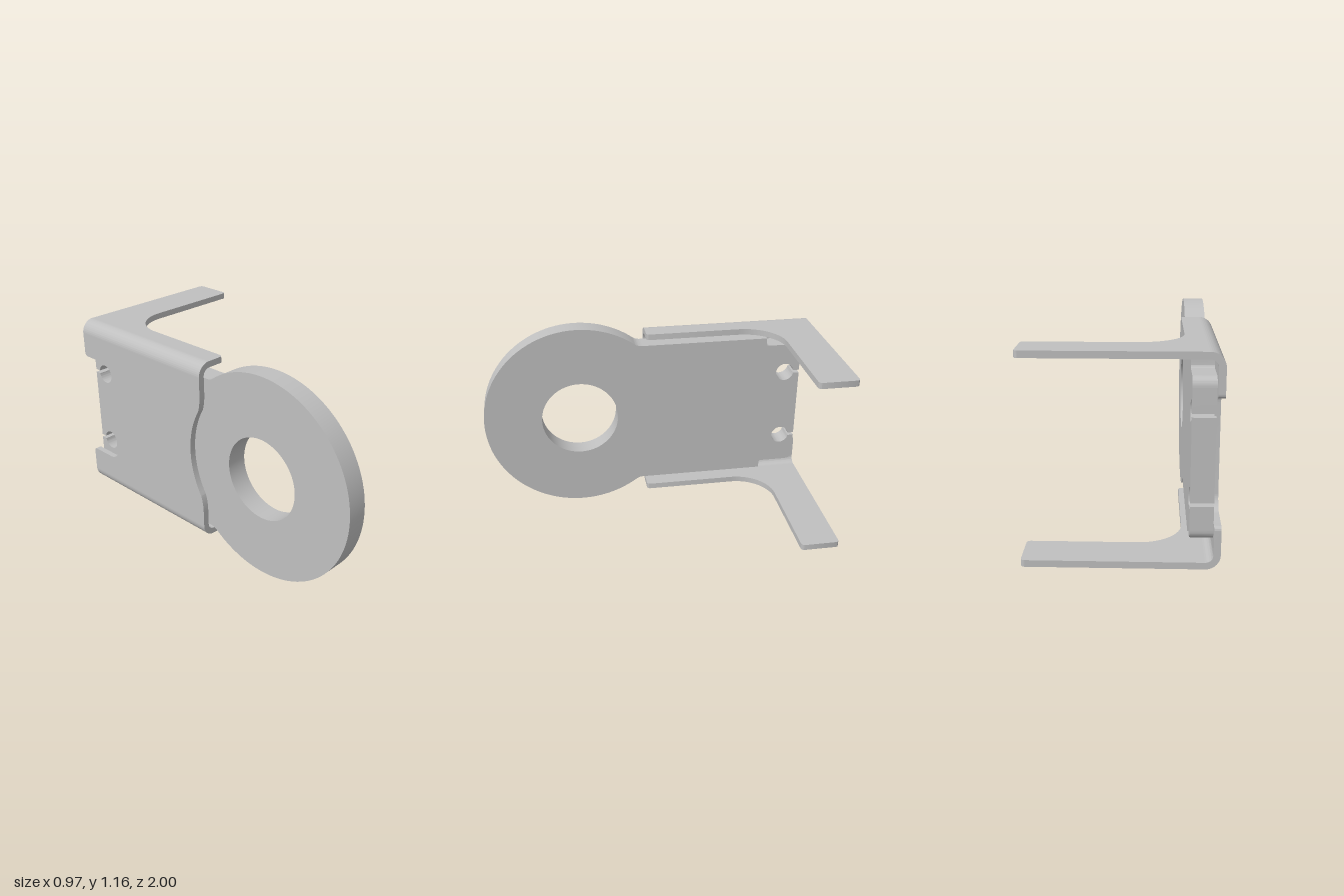
import * as THREE from 'three';
import { toCreasedNormals } from 'three/addons/utils/BufferGeometryUtils.js';

const MID = 0.583;                 // height of the symmetry plane
const X_OUT = -0.485, SHEET = 0.035; // outer web face, sheet thickness
const BEND = 0.075;                // outer bend radius
const TOP = 1.118, BOTTOM = 2 * MID - TOP;
const BACK = -1, FRONT = 0.01;

function extrude(shape, depth) {
  return new THREE.ExtrudeGeometry(shape, { depth, bevelEnabled: false, curveSegments: 40 });
}

// Outline drawn in (z, y), thickened from x0 towards -x
function sidePlate(shape, x0, depth) {
  return extrude(shape, depth).rotateY(-Math.PI / 2).translate(x0, 0, 0);
}

function eyePlateShape() {
  const s = new THREE.Shape();
  const up = y => 2 * MID - y; // mirror in height
  s.absarc(0.42, MID, 0.58, -2.2, 2.2, false);
  s.quadraticCurveTo(0.06, 1.037, 0.03, 1.037);
  s.lineTo(-0.733, 1.037);
  s.lineTo(-0.733, 1.005);
  s.quadraticCurveTo(-0.733, 0.988, -0.75, 0.988);
  s.lineTo(-0.9, 0.988);
  s.quadraticCurveTo(-0.952, 0.988, -0.952, 0.936);
  // relief holes opening to the back edge through narrow slots
  for (const y of [0.805, up(0.805)]) {
    s.lineTo(-0.952, y + 0.009);
    s.absarc(-0.861, y, 0.055, Math.PI - 0.164, -Math.PI + 0.164, true);
    s.lineTo(-0.952, y - 0.009);
  }
  s.lineTo(-0.952, up(0.936));
  s.quadraticCurveTo(-0.952, up(0.988), -0.9, up(0.988));
  s.lineTo(-0.75, up(0.988));
  s.quadraticCurveTo(-0.733, up(0.988), -0.733, up(1.005));
  s.lineTo(-0.733, up(1.037));
  s.lineTo(0.03, up(1.037));
  s.quadraticCurveTo(0.06, up(1.037), 0.42 + 0.58 * Math.cos(2.2), MID - 0.58 * Math.sin(2.2));
  s.holes.push(new THREE.Path().absarc(0.42, MID, 0.233, 0, Math.PI * 2, true));
  return s;
}

function webShape() {
  const s = new THREE.Shape();
  const hi = TOP - BEND, lo = BOTTOM + BEND, up = y => 2 * MID - y;
  const R = 0.5, a = 0.55; // concave relief around the eye
  const az = 0.42 - R * Math.cos(a), ay = MID + R * Math.sin(a);
  s.moveTo(BACK, lo);
  s.lineTo(FRONT, lo);
  s.lineTo(FRONT, up(0.95));
  s.quadraticCurveTo(FRONT, up(0.89), az, up(ay));
  s.absarc(0.42, MID, R, Math.PI + a, Math.PI - a, true);
  s.quadraticCurveTo(FRONT, 0.89, FRONT, 0.95);
  s.lineTo(FRONT, hi);
  s.lineTo(BACK, hi);
  // open window at the back end
  s.lineTo(BACK, 0.92);
  s.quadraticCurveTo(BACK, 0.898, BACK + 0.022, 0.898);
  s.lineTo(-0.83, 0.898);
  s.absarc(-0.83, 0.818, 0.08, Math.PI / 2, 0, true);
  s.absarc(-0.83, up(0.818), 0.08, 0, -Math.PI / 2, true);
  s.lineTo(BACK + 0.022, up(0.898));
  s.quadraticCurveTo(BACK, up(0.898), BACK, up(0.92));
  return s;
}

// L-shaped arm drawn in (x, -z)
function armShape() {
  const s = new THREE.Shape();
  const x0 = X_OUT + BEND, x1 = -0.308, tip = 0.485, inner = 0.775, f = 0.23, r = 0.02;
  s.moveTo(x0, -FRONT);
  s.lineTo(x1 - r, -FRONT);
  s.absarc(x1 - r, -FRONT + r, r, -Math.PI / 2, 0, false);
  s.absarc(x1 + f, inner - f, f, Math.PI, Math.PI / 2, true);
  s.absarc(tip - r, inner + r, r, -Math.PI / 2, 0, false);
  s.absarc(tip - r, -BACK - r, r, 0, Math.PI / 2, false);
  s.lineTo(x0, -BACK);
  return s;
}

// Quarter-ring fold between web and arm
function bendShape(y, from) {
  const s = new THREE.Shape();
  const x = X_OUT + BEND, to = from + Math.PI / 2;
  s.absarc(x, y, BEND, from, to, false);
  s.absarc(x, y, BEND - SHEET, to, from, true);
  return s;
}

export function createModel() {
  const steel = new THREE.MeshStandardMaterial({ color: 0xbfbfbf });
  steel.name = 'plain steel grey';
  const model = new THREE.Group();
  model.name = 'eyePlateWithBracket';

  const add = (parent, name, geometry) => {
    const mesh = new THREE.Mesh(toCreasedNormals(geometry, 0.5), steel);
    mesh.name = name;
    parent.add(mesh);
  };

  add(model, 'eyePlate', sidePlate(eyePlateShape(), -0.334, 0.116));

  // Folded sheet bracket
  const bracket = new THREE.Group();
  bracket.name = 'bracket';
  model.add(bracket);
  add(bracket, 'web', sidePlate(webShape(), X_OUT + SHEET, SHEET));
  const sides = [
    ['upper', TOP - SHEET, TOP - BEND, Math.PI / 2],
    ['lower', BOTTOM, BOTTOM + BEND, Math.PI],
  ];
  for (const [side, armY, bendY, from] of sides) {
    add(bracket, side + 'Arm', extrude(armShape(), SHEET).rotateX(-Math.PI / 2).translate(0, armY, 0));
    add(bracket, side + 'Bend', extrude(bendShape(bendY, from), FRONT - BACK).translate(0, 0, BACK));
  }
  return model;
}
